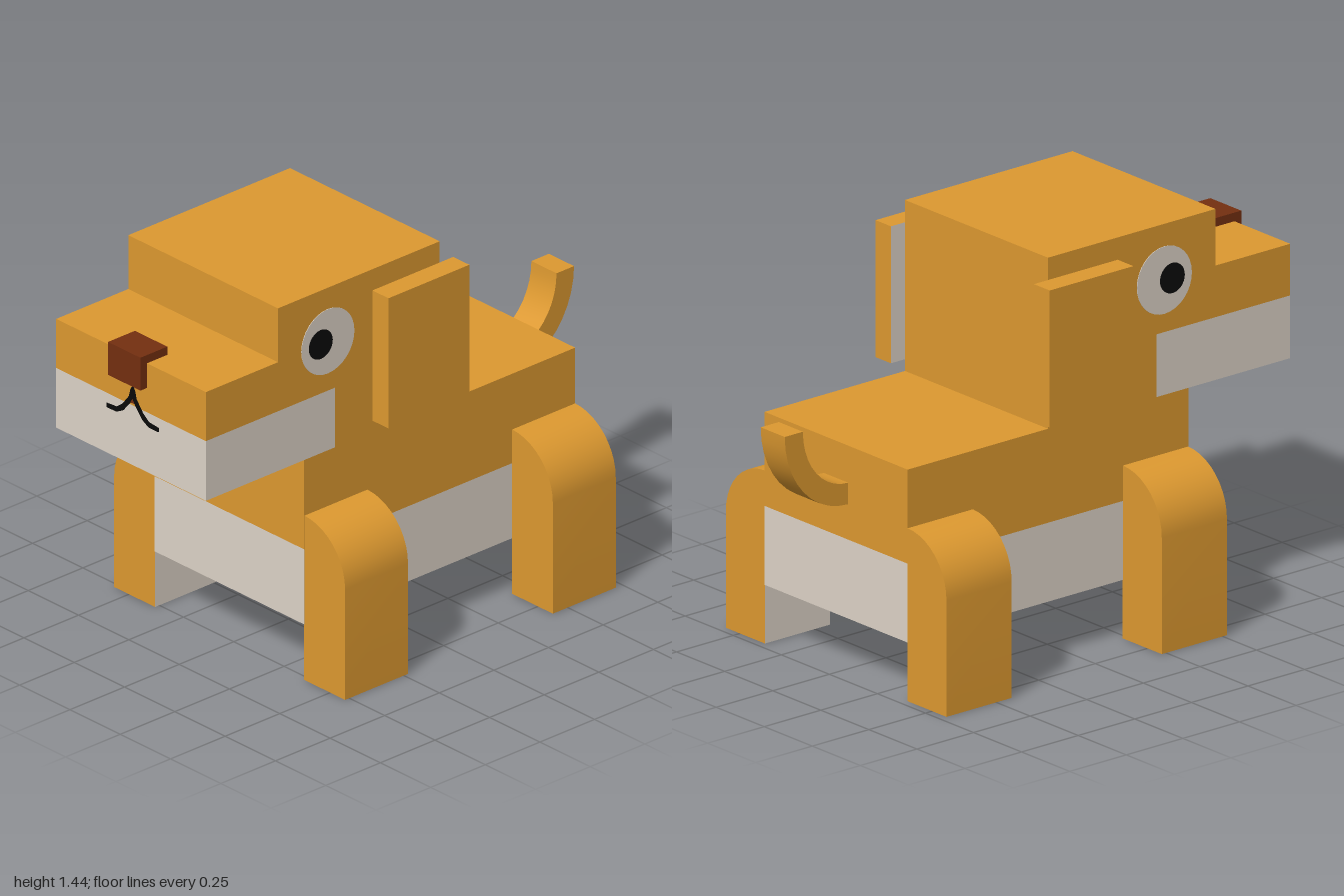
import * as THREE from 'three';
import { toCreasedNormals } from 'three/addons/utils/BufferGeometryUtils.js';

const material = (name, color) => {
  const m = new THREE.MeshStandardMaterial({ color });
  m.name = name;
  return m;
};

export function createModel() {
  const fur = material('tan fur', 0xdd9930);
  const cream = material('cream fur', 0xded4c8);
  const noseBrown = material('nose brown', 0x742f10);
  const black = material('black', 0x0a0a0a);

  const model = new THREE.Group();
  model.name = 'dog';

  const add = (name, geometry, mat, parent = model) => {
    const mesh = new THREE.Mesh(geometry, mat);
    mesh.name = name;
    parent.add(mesh);
    return mesh;
  };

  // Box given by its limits on each axis
  const box = (name, [x0, x1], [y0, y1], [z0, z1], mat, parent) => {
    const mesh = add(name, new THREE.BoxGeometry(x1 - x0, y1 - y0, z1 - z0), mat, parent);
    mesh.position.set((x0 + x1) / 2, (y0 + y1) / 2, (z0 + z1) / 2);
    return mesh;
  };

  // Extrusion centred on its depth, smooth along curves and sharp at edges
  const extrude = (shape, depth, curveSegments = 5) => {
    const g = new THREE.ExtrudeGeometry(shape, { depth, bevelEnabled: false, curveSegments });
    return toCreasedNormals(g.translate(0, 0, -depth / 2), 0.6);
  };

  // Side profile (z, y) extruded across x
  const sideProfile = (shape, width) => extrude(shape, width).rotateY(-Math.PI / 2);
  const polygon = (points) => new THREE.Shape(points.map(([x, y]) => new THREE.Vector2(x, y)));

  const W = 0.372;
  const wide = [-W, W];

  // Body with a cream belly
  box('back', wide, [0.493, 0.83], [-0.72, 0.52], fur);
  box('belly', wide, [0.21, 0.493], [-0.72, 0.52], cream);

  // Legs with rounded shoulders; inner side and sole are cream
  const legShape = new THREE.Shape();
  legShape.moveTo(0.37, 0);
  legShape.lineTo(0.574, 0);
  legShape.lineTo(0.574, 0.416);
  legShape.absarc(0.37, 0.416, 0.204, 0, Math.PI / 2, false);
  legShape.lineTo(0.37, 0);
  const legGeometry = extrude(legShape, 0.288);
  const normal = legGeometry.attributes.normal;
  legGeometry.clearGroups();
  for (let i = 0; i < normal.count; i += 3) {
    const isCream = normal.getX(i) < -0.9 || normal.getY(i) < -0.9;
    legGeometry.addGroup(i, 3, isCream ? 1 : 0);
  }
  for (const [end, z] of [['front', 0.375], ['back', -0.576]]) {
    for (const [side, turn] of [['Left', 0], ['Right', Math.PI]]) {
      const leg = add(`${end}${side}Leg`, legGeometry, [fur, cream]);
      leg.rotation.y = turn;
      leg.position.z = z;
    }
  }

  // Tail: a band between two quarter ellipses, curling up
  const tail = new THREE.Shape();
  tail.moveTo(-0.7, 0.62);
  tail.lineTo(-0.72, 0.62);
  tail.absellipse(-0.72, 0.927, 0.28, 0.307, -Math.PI / 2, -Math.PI, true);
  tail.lineTo(-0.92, 0.927);
  tail.absellipse(-0.72, 0.927, 0.2, 0.23, -Math.PI, -Math.PI / 2, false);
  tail.lineTo(-0.7, 0.697);
  add('tail', sideProfile(tail, 0.125), fur);

  // Head: stepped skull and snout, with a cream muzzle below
  const head = new THREE.Group();
  head.name = 'head';
  model.add(head);
  const skull = polygon([
    [-0.1, 0.83], [0.38, 0.83], [0.38, 1.055], [0.97, 1.055],
    [0.97, 1.24], [0.64, 1.24], [0.64, 1.443], [-0.1, 1.443],
  ]);
  add('skull', sideProfile(skull, 2 * W), fur, head);
  box('muzzle', wide, [0.83, 1.055], [0.38, 0.97], cream, head);
  box('nose', [-0.082, 0.079], [1.147, 1.271], [0.877, 1], noseBrown, head);

  // Ears (cream on the inner face) and eyes
  for (const [side, s] of [['left', 1], ['right', -1]]) {
    const earMaterials = Array(6).fill(fur);
    earMaterials[s > 0 ? 1 : 0] = cream;
    const earX = s > 0 ? [W, 0.452] : [-0.454, -W];
    box(`${side}Ear`, earX, [0.872, 1.363], [-0.162, 0.208], earMaterials, head);

    const disc = (name, radius, z, lift, mat) => {
      const geometry = new THREE.CylinderGeometry(radius, radius, 0.004, 32);
      geometry.rotateZ(Math.PI / 2);
      add(name, geometry, mat, head).position.set(s * (W + lift), 1.242, z);
    };
    disc(`${side}Eye`, 0.121, 0.413, 0, cream);
    disc(`${side}Pupil`, 0.054, 0.447, 0.002, black);
  }

  // Mouth: two mirrored strokes meeting under the nose
  const stroke = [
    [0, 1.13], [0.01, 1.115], [0.018, 1.085], [0.05, 1.045],
    [0.08, 1.022], [0.13, 1.018], [0.128, 1.003], [0.08, 1.003],
    [0.048, 1.02], [0.015, 1.058], [0, 1.082],
  ];
  for (const [side, s] of [['left', 1], ['right', -1]]) {
    const shape = polygon(stroke.map(([x, y]) => [s * x + 0.01, y]));
    add(`${side}Mouth`, extrude(shape, 0.004), black, head).position.z = 0.971;
  }
  const lip = polygon([[-0.008, 1.064], [0.028, 1.064], [0.01, 1.084]]);
  add('lip', extrude(lip, 0.003), noseBrown, head).position.z = 0.971;

  return model;
}
